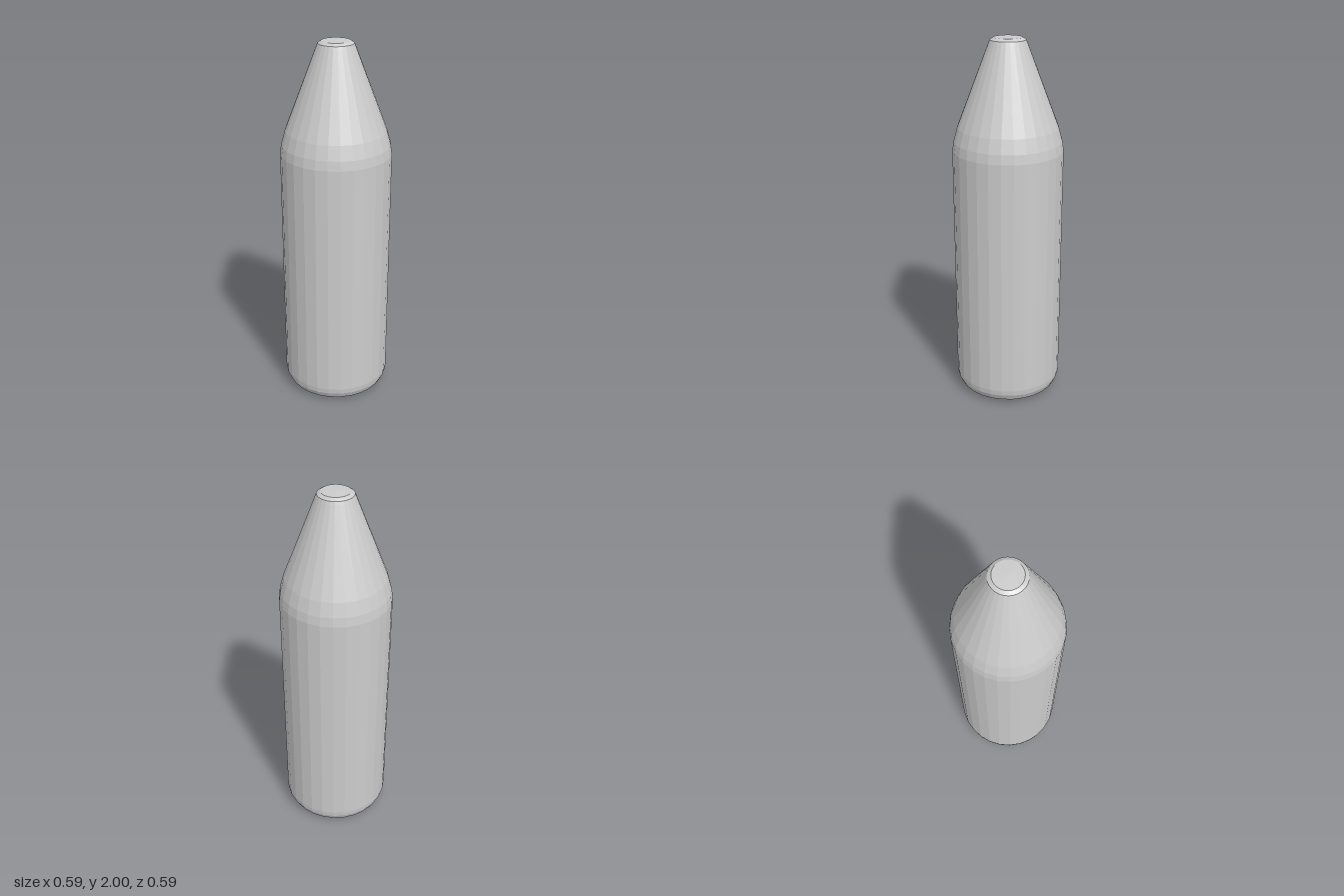
import * as THREE from 'three';

const SIDES = 28;

// Faceted ring-by-ring surface of revolution; profile is [radius, height] from bottom to top
function turned(name, profile, material) {
  const points = profile.map(([r, y]) => new THREE.Vector2(r, y));
  const mesh = new THREE.Mesh(new THREE.LatheGeometry(points, SIDES), material);
  mesh.name = name;
  return mesh;
}

export function createModel() {
  const material = new THREE.MeshStandardMaterial({ color: 0xcccccc, flatShading: true });
  const group = new THREE.Group();
  group.name = 'taperedCylinder';

  // Flat base with a small worn bevel
  group.add(turned('base', [[0, 0], [0.245, 0.005], [0.275, 0.025], [0.292, 0.06], [0.296, 0.09]], material));

  // Straight body
  group.add(turned('body', [[0.296, 0.09], [0.296, 1.41]], material));

  // Rounded shoulder running into the tapered nose
  group.add(turned('shoulder', [[0.296, 1.41], [0.289, 1.46], [0.268, 1.535]], material));
  group.add(turned('nose', [[0.268, 1.535], [0.1, 1.97]], material));

  // Blunt tip with a softened rim
  group.add(turned('tip', [[0.1, 1.97], [0.094, 1.985], [0.075, 1.997], [0, 2]], material));

  return group;
}
